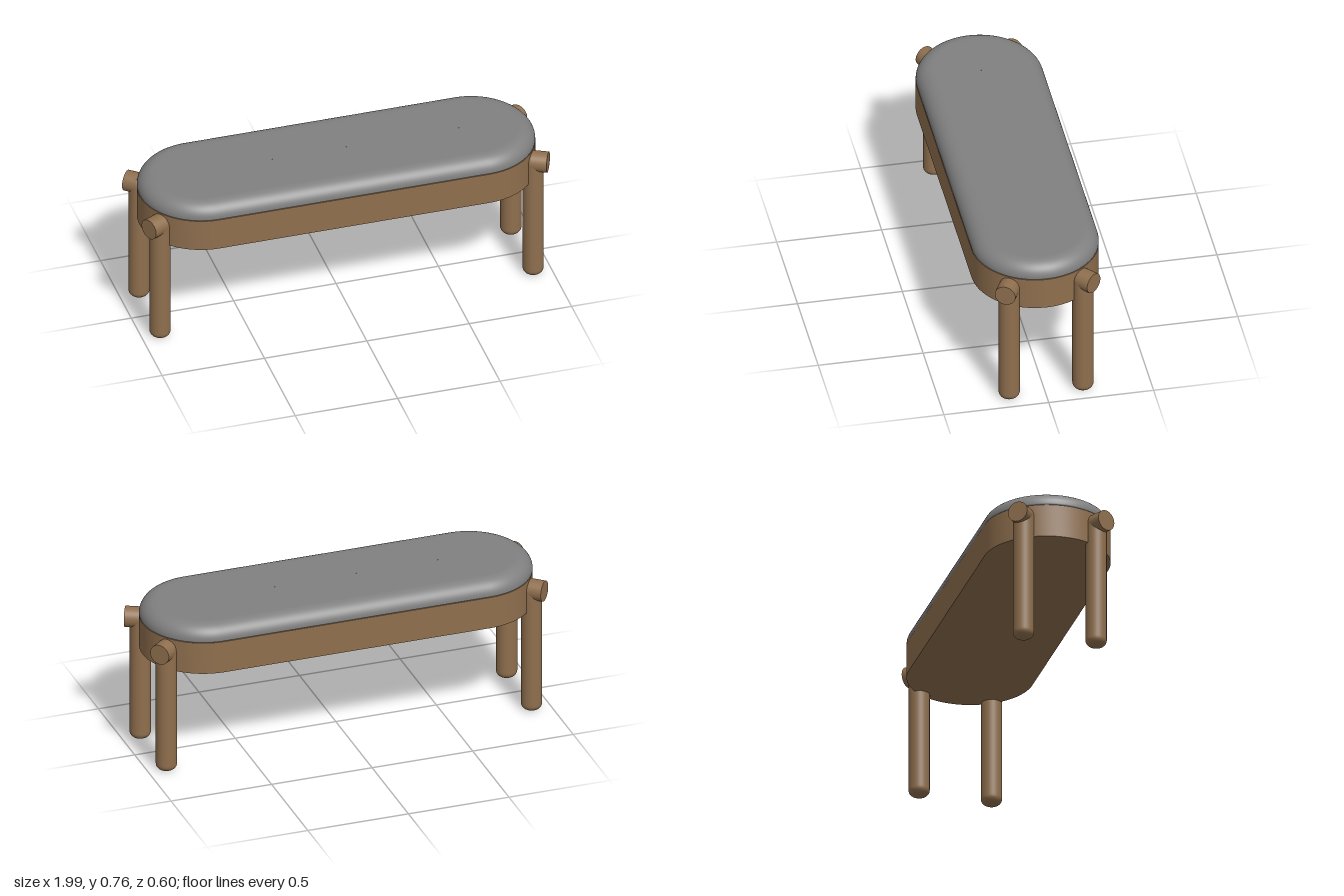
import * as THREE from 'three';
import { toCreasedNormals } from 'three/addons/utils/BufferGeometryUtils.js';

const wood = new THREE.MeshStandardMaterial({ name: 'wood', color: 0x8f6f4e });
const fabric = new THREE.MeshStandardMaterial({ name: 'greyFabric', color: 0x808080 });

const HALF_STRAIGHT = 0.66; // half length of the straight sides
const END_RADIUS = 0.3;     // radius of the rounded ends
const LEG_RADIUS = 0.05;
const PEG_Y = 0.627;

function addMesh(parent, name, geometry, material) {
  const mesh = new THREE.Mesh(geometry, material);
  mesh.name = name;
  parent.add(mesh);
  return mesh;
}

// Quarter-ellipse points for a lathe profile, from angle a0 to a1
function arc(cx, cy, rx, ry, a0, a1, steps) {
  return Array.from({ length: steps + 1 }, (_, i) => {
    const a = a0 + ((a1 - a0) * i) / steps;
    return new THREE.Vector2(cx + rx * Math.cos(a), cy + ry * Math.sin(a));
  });
}

// Flat-sided pill-shaped frame under the cushion
function frameGeometry(bottom, top) {
  const shape = new THREE.Shape();
  shape.absarc(HALF_STRAIGHT, 0, END_RADIUS, -Math.PI / 2, Math.PI / 2, false);
  shape.absarc(-HALF_STRAIGHT, 0, END_RADIUS, Math.PI / 2, Math.PI * 1.5, false);
  shape.closePath();
  const geometry = new THREE.ExtrudeGeometry(shape, { depth: top - bottom, bevelEnabled: false, curveSegments: 28 });
  geometry.rotateX(-Math.PI / 2).translate(0, bottom, 0);
  return toCreasedNormals(geometry, 0.6);
}

// Soft cushion: a lathe whose halves are pulled apart along x
function cushionGeometry() {
  const segments = 96;
  const profile = [
    new THREE.Vector2(0.00001, 0.683),
    new THREE.Vector2(0.28, 0.683),
    ...arc(0.293, 0.69, 0.007, 0.007, -Math.PI / 2, 0, 4),
    ...arc(0.22, 0.692, 0.08, 0.071, 0, Math.PI / 2, 14),
    new THREE.Vector2(0.21, 0.763),
    new THREE.Vector2(0.00001, 0.763),
  ];
  const geometry = new THREE.LatheGeometry(profile, segments, Math.PI / segments);
  const p = geometry.attributes.position;
  for (let i = 0; i < p.count; i++) {
    p.setX(i, p.getX(i) + Math.sign(p.getX(i)) * HALF_STRAIGHT);
  }
  return geometry;
}

// Upright leg with a rounded foot, a rounded elbow and a peg pointing outward
function makeLeg(name, x, z, endX, endZ) {
  const leg = new THREE.Group();
  leg.name = name;
  leg.position.set(x, 0, z);
  const foot = 0.032;
  const post = new THREE.LatheGeometry([
    new THREE.Vector2(0, 0),
    ...arc(LEG_RADIUS - foot, foot, foot, foot, -Math.PI / 2, 0, 8),
    new THREE.Vector2(LEG_RADIUS, foot + 0.01),
    new THREE.Vector2(LEG_RADIUS, PEG_Y),
  ], 32);
  addMesh(leg, 'legPost', post, wood);
  addMesh(leg, 'legElbow', new THREE.SphereGeometry(LEG_RADIUS, 32, 20), wood).position.y = PEG_Y;

  const direction = new THREE.Vector3(endX - x, 0, endZ - z);
  const length = direction.length();
  const pegGeometry = new THREE.CylinderGeometry(LEG_RADIUS, LEG_RADIUS, length, 32).translate(0, length / 2, 0);
  const peg = addMesh(leg, 'legPeg', pegGeometry, wood);
  peg.position.y = PEG_Y;
  peg.quaternion.setFromUnitVectors(new THREE.Vector3(0, 1, 0), direction.normalize());
  return leg;
}

export function createModel() {
  const bench = new THREE.Group();
  bench.name = 'bench';
  addMesh(bench, 'seatFrame', frameGeometry(0.522, 0.683), wood);
  addMesh(bench, 'seatCushion', cushionGeometry(), fabric);
  for (const [side, label] of [[1, 'Left'], [-1, 'Right']]) {
    bench.add(makeLeg('front' + label + 'Leg', side * 0.911, 0.171, side * 0.975, 0.203));
    bench.add(makeLeg('back' + label + 'Leg', side * 0.908, -0.181, side * 0.957, -0.223));
  }
  return bench;
}
